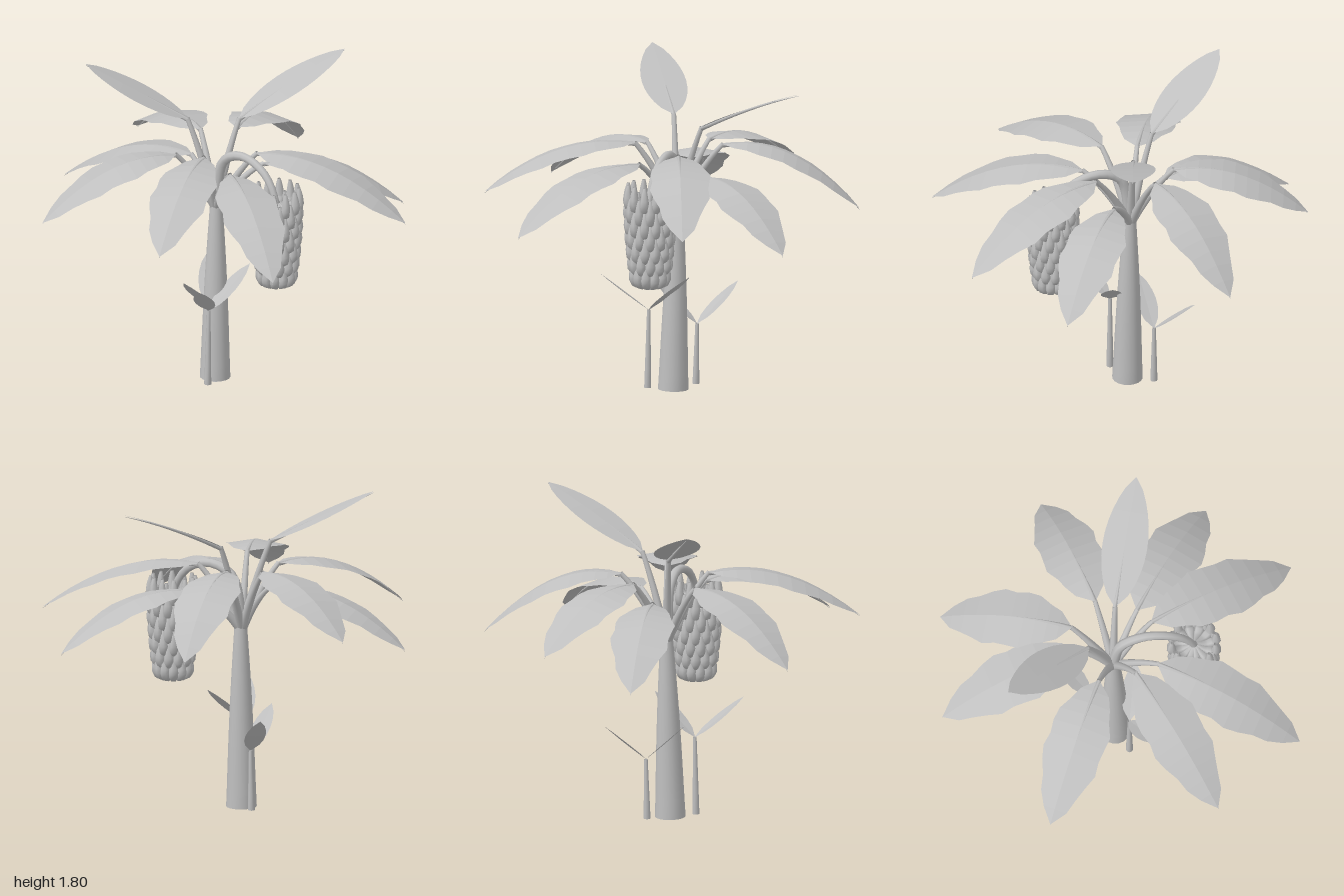
import * as THREE from 'three';
import { mergeVertices } from 'three/addons/utils/BufferGeometryUtils.js';

const grey = new THREE.MeshStandardMaterial({ color: 0xbfbfbf, side: THREE.DoubleSide });
grey.name = 'plant grey';

const V = (x, y, z) => new THREE.Vector3(x, y, z);

function add(parent, name, geometry) {
  const mesh = new THREE.Mesh(geometry, grey);
  mesh.name = name;
  parent.add(mesh);
  return mesh;
}

// Tube along a curve whose radius follows radiusAt(t), with smooth normals
function taperedTube(curve, segments, sides, radiusAt) {
  const geo = new THREE.TubeGeometry(curve, segments, 1, sides);
  const pos = geo.attributes.position;
  const p = V(0, 0, 0);
  for (let i = 0; i <= segments; i++) {
    const t = i / segments;
    const c = curve.getPointAt(t);
    for (let j = 0; j <= sides; j++) {
      const k = i * (sides + 1) + j;
      p.fromBufferAttribute(pos, k).sub(c).multiplyScalar(radiusAt(t)).add(c);
      pos.setXYZ(k, p.x, p.y, p.z);
    }
  }
  geo.deleteAttribute('uv');
  geo.deleteAttribute('normal');
  const merged = mergeVertices(geo, 1e-5);
  merged.computeVertexNormals();
  return merged;
}

// Faceted leaf blade: a ridge with two sides that droop a little and have a wavy edge
function bladeGeometry(curve, half, wave, droop, rows) {
  const a = curve.getPoint(0), b = curve.getPoint(1);
  const side = V(-(b.z - a.z), 0, b.x - a.x).normalize();
  const pos = [], index = [];
  for (let i = 0; i <= rows; i++) {
    const t = i / rows;
    const c = curve.getPoint(t);
    const shape = Math.pow(Math.sin(Math.PI * Math.pow(t, 0.9)), 0.7);
    for (const s of [-1, 0, 1]) {
      const ripple = 1 + wave * Math.sin(i * 2.1 + s * 0.8);
      const w = i === rows ? 0 : half * Math.max(shape, 0.04) * ripple;
      const p = c.clone().addScaledVector(side, s * w);
      p.y -= Math.abs(s) * w * droop;
      pos.push(p.x, p.y, p.z);
    }
    if (i < rows) {
      for (const j of [0, 1]) {
        const k = i * 3 + j;
        index.push(k, k + 3, k + 1, k + 1, k + 3, k + 4);
      }
    }
  }
  // Wind so that the front faces up
  for (let i = 0; i < index.length; i += 3) {
    [index[i + 1], index[i + 2]] = [index[i + 2], index[i + 1]];
  }
  const geo = new THREE.BufferGeometry();
  geo.setAttribute('position', new THREE.Float32BufferAttribute(pos, 3));
  geo.setIndex(index);
  const flat = geo.toNonIndexed();
  flat.computeVertexNormals();
  return flat;
}

function addLeaf(parent, start, tip, { half, wave, arch, droop }) {
  const leaf = new THREE.Group();
  leaf.name = 'leaf';
  parent.add(leaf);
  // Leaf stalk from the crown
  const root = V(-0.09, 1.0, -0.05);
  const bend = root.clone().lerp(start, 0.5);
  bend.y += 0.06;
  const stalk = new THREE.QuadraticBezierCurve3(root, bend, start);
  add(leaf, 'leafStalk', taperedTube(stalk, 8, 8, t => 0.026 - 0.013 * t));
  // Blade with a rib beneath it
  const mid = start.clone().lerp(tip, 0.5);
  mid.y = arch;
  const spine = new THREE.QuadraticBezierCurve3(start, mid, tip);
  add(leaf, 'leafBlade', bladeGeometry(spine, half, wave, droop, 11));
  const rib = taperedTube(spine, 12, 6, t => 0.012 * (1 - t) + 0.001);
  rib.translate(0, -0.008, 0);
  add(leaf, 'leafRib', rib);
}

function addSucker(parent, base, top, tips) {
  const sucker = new THREE.Group();
  sucker.name = 'sucker';
  parent.add(sucker);
  const stem = new THREE.LineCurve3(base, top);
  add(sucker, 'suckerStem', taperedTube(stem, 4, 8, t => 0.02 - 0.01 * t));
  for (const tip of tips) {
    const mid = top.clone().lerp(tip, 0.5);
    mid.y -= 0.01;
    const spine = new THREE.QuadraticBezierCurve3(top, mid, tip);
    add(sucker, 'suckerLeaf', bladeGeometry(spine, 0.058, 0, -0.1, 6));
  }
}

function addBunch(parent) {
  const bunch = new THREE.Group();
  bunch.name = 'fruitBunch';
  parent.add(bunch);
  // Arching stem that hangs down through the fruit
  const stem = new THREE.CatmullRomCurve3([
    V(-0.09, 1.05, -0.05), V(-0.04, 1.3, -0.02), V(0.07, 1.36, 0.05),
    V(0.2, 1.31, 0.15), V(0.275, 1.17, 0.21), V(0.28, 0.9, 0.21), V(0.28, 0.655, 0.21)]);
  add(bunch, 'bunchStem', taperedTube(stem, 28, 8, t => 0.032 - 0.022 * t));
  // Tiers of fruit that grow outward and turn up
  const rows = 7, perRow = 12;
  for (let r = 0; r < rows; r++) {
    const f = r / (rows - 1);
    const R = 0.127 - 0.035 * f * f;
    const path = new THREE.CatmullRomCurve3([
      V(0.015, 0.0, 0), V(R * 0.6, -0.035, 0), V(R * 0.95, -0.015, 0),
      V(R, 0.04, 0), V(R * 0.97, 0.1, 0)]);
    const fruit = taperedTube(path, 10, 6,
      t => 0.006 + 0.025 * Math.pow(Math.sin(Math.PI * Math.min(1, t * 0.72 + 0.26)), 0.8) * Math.min(1, 0.25 + t * 1.8));
    for (let i = 0; i < perRow; i++) {
      const mesh = add(bunch, 'fruit', fruit);
      mesh.position.set(0.28, 1.155 - 0.43 * f, 0.21);
      mesh.rotation.y = (i + (r % 2) / 2) / perRow * Math.PI * 2;
    }
  }
}

export function createModel() {
  const plant = new THREE.Group();
  plant.name = 'fruitPlant';

  // Trunk, closed at the base
  const trunkCurve = new THREE.LineCurve3(V(-0.09, 0.0, -0.03), V(-0.085, 1.12, -0.052));
  add(plant, 'trunk', taperedTube(trunkCurve, 12, 18,
    t => 0.085 - 0.056 * Math.pow(t, 0.9) + 0.008 * Math.sin(Math.PI * t)));
  const base = add(plant, 'trunkBase', new THREE.CircleGeometry(0.085, 18));
  base.rotation.x = Math.PI / 2;
  base.position.set(-0.09, 0.001, -0.03);

  // Spreading leaves: blade start, then tip
  const spread = [
    [V(0.0, 1.39, -0.29), V(0.26, 1.04, -1.0)],
    [V(0.17, 1.25, -0.13), V(0.92, 0.95, -0.37)],
    [V(0.15, 1.37, 0.01), V(1.0, 1.08, 0.23)],
    [V(0.02, 1.31, 0.2), V(0.35, 1.01, 0.99)],
    [V(-0.13, 1.4, 0.18), V(-0.28, 1.14, 1.0)],
    [V(-0.3, 1.36, 0.06), V(-1.0, 1.06, 0.41)],
    [V(-0.24, 1.27, -0.17), V(-0.98, 0.98, -0.48)],
    [V(-0.2, 1.38, -0.27), V(-0.62, 1.12, -0.88)],
  ];
  for (const [start, tip] of spread) {
    addLeaf(plant, start, tip, { half: 0.165, wave: 0.07, arch: start.y + 0.07, droop: 0.18 });
  }
  // Young upright leaves
  addLeaf(plant, V(0.03, 1.5, -0.16), V(0.57, 1.775, -0.56), { half: 0.125, wave: 0, arch: 1.67, droop: 0.03 });
  addLeaf(plant, V(-0.25, 1.52, -0.08), V(-0.82, 1.8, -0.12), { half: 0.125, wave: 0, arch: 1.665, droop: 0.03 });

  addBunch(plant);

  // Two small shoots beside the trunk
  addSucker(plant, V(-0.115, 0.01, 0.11), V(-0.11, 0.45, 0.105),
    [V(0.1, 0.67, -0.07), V(-0.13, 0.67, 0.38)]);
  addSucker(plant, V(-0.14, 0.01, -0.175), V(-0.135, 0.35, -0.18),
    [V(-0.18, 0.57, -0.43), V(-0.26, 0.57, 0.02)]);

  return plant;
}
